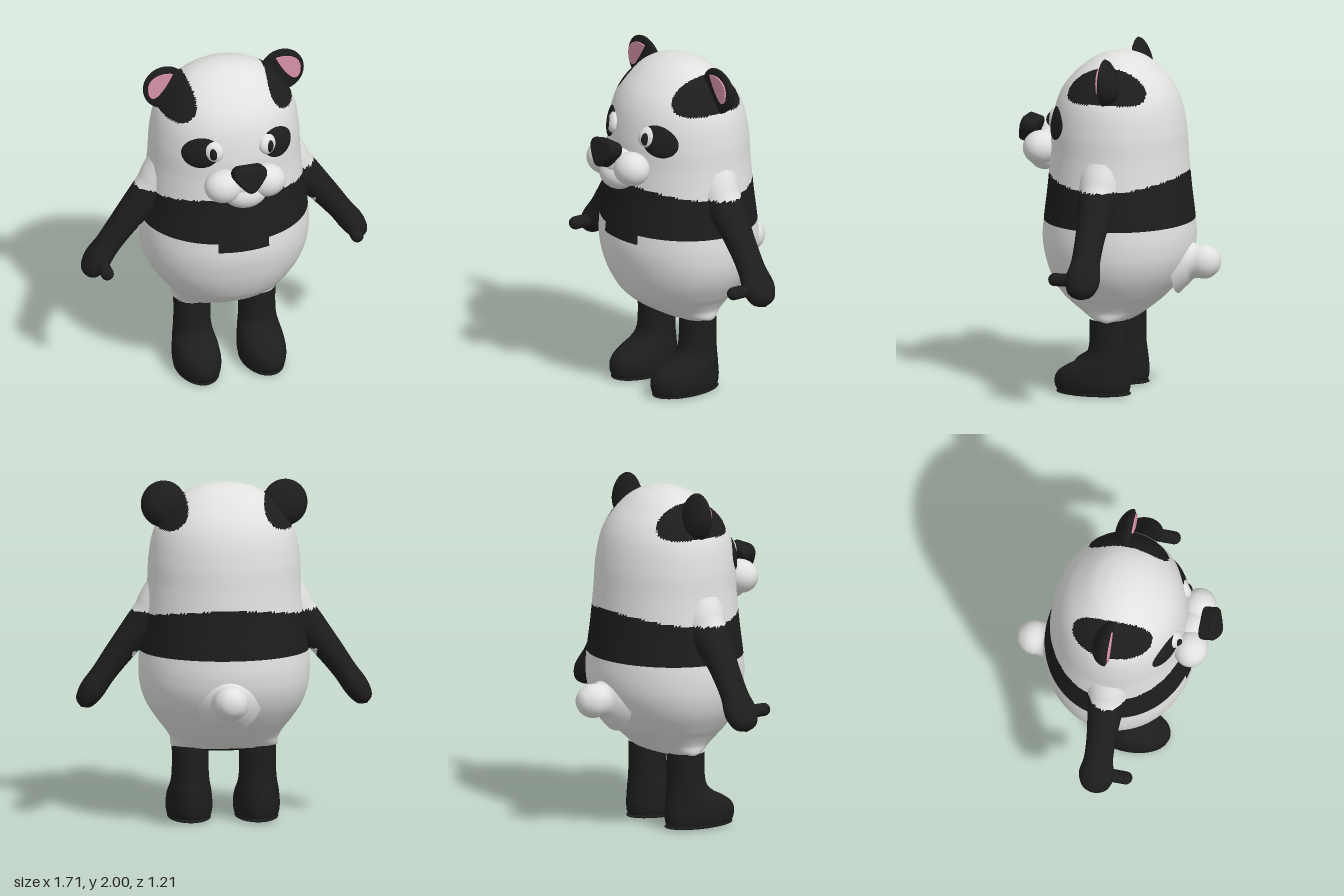
import * as THREE from 'three';

const white = new THREE.MeshStandardMaterial({ color: 0xe1e1df });
white.name = 'white fur';
const black = new THREE.MeshStandardMaterial({ color: 0x1d1d1d });
black.name = 'black fur';
const pink = new THREE.MeshStandardMaterial({ color: 0xd893a8 });
pink.name = 'pink inner ear';

// Smooth interpolation of rows [t, a, b, ...] at a given t
function sample(rows, t) {
  let i = 0;
  while (i < rows.length - 2 && t > rows[i + 1][0]) i++;
  const p = rows[i], q = rows[i + 1], h = q[0] - p[0];
  const before = rows[Math.max(i - 1, 0)], after = rows[Math.min(i + 2, rows.length - 1)];
  const u = Math.min(Math.max((t - p[0]) / h, 0), 1), u2 = u * u, u3 = u2 * u;
  return p.slice(1).map((v, k) => {
    const w = q[k + 1];
    const m0 = (w - before[k + 1]) / (q[0] - before[0]) * h;
    const m1 = (after[k + 1] - v) / (after[0] - p[0]) * h;
    return (2 * u3 - 3 * u2 + 1) * v + (u3 - 2 * u2 + u) * m0 + (3 * u2 - 2 * u3) * w + (u3 - u2) * m1;
  });
}

// Closed loops of points skinned into one smooth surface; isBlack(x, y, z) picks each face's colour
function loft(name, rows, segs, point, isBlack) {
  const pos = [], lists = [[], []];
  for (let i = 0; i <= rows; i++)
    for (let j = 0; j < segs; j++) pos.push(...point(i / rows, j / segs * Math.PI * 2));
  const add = (...tri) => {
    const c = [0, 1, 2].map(k => tri.reduce((s, v) => s + pos[v * 3 + k], 0) / 3);
    lists[isBlack(...c) ? 1 : 0].push(...tri);
  };
  for (let i = 0; i < rows; i++)
    for (let j = 0; j < segs; j++) {
      const a = i * segs + j, b = i * segs + (j + 1) % segs;
      add(a, a + segs, b);
      add(b, a + segs, b + segs);
    }
  const geo = new THREE.BufferGeometry();
  geo.setAttribute('position', new THREE.Float32BufferAttribute(pos, 3));
  geo.setIndex([...lists[0], ...lists[1]]);
  geo.addGroup(0, lists[0].length, 0);
  geo.addGroup(lists[0].length, lists[1].length, 1);
  geo.computeVertexNormals();
  const mesh = new THREE.Mesh(geo, [white, black]);
  mesh.name = name;
  return mesh;
}

// Body: y, half width, front depth, back depth
const BODY = [
  [0.41, 0, 0, 0], [0.422, 0.24, 0.07, 0.06], [0.44, 0.3, 0.13, 0.11], [0.5, 0.315, 0.235, 0.195],
  [0.55, 0.345, 0.3, 0.255], [0.6, 0.385, 0.345, 0.305], [0.7, 0.45, 0.395, 0.38], [0.8, 0.485, 0.425, 0.425],
  [0.9, 0.495, 0.44, 0.44], [1, 0.49, 0.435, 0.435], [1.2, 0.465, 0.412, 0.412], [1.4, 0.445, 0.395, 0.395],
  [1.55, 0.437, 0.388, 0.383], [1.7, 0.41, 0.358, 0.35], [1.8, 0.36, 0.31, 0.3], [1.88, 0.295, 0.238, 0.23],
  [1.94, 0.21, 0.16, 0.16], [1.97, 0.13, 0.095, 0.095], [1.982, 0.065, 0.05, 0.05], [1.986, 0, 0, 0],
];
// Arm: step, x, y, radius across, radius in z
const ARM = [
  [0, 0.32, 1.28, 0.18, 0.15], [1, 0.4, 1.2, 0.15, 0.125], [2, 0.48, 1.14, 0.11, 0.105], [3, 0.54, 1.08, 0.09, 0.095],
  [4, 0.62, 0.98, 0.078, 0.085], [5, 0.7, 0.87, 0.07, 0.085], [6, 0.76, 0.785, 0.072, 0.102],
  [7, 0.8, 0.725, 0.06, 0.085], [7.6, 0.818, 0.695, 0.04, 0.055], [8, 0.828, 0.678, 0, 0],
];
// Leg: y, half width, toe z, heel z
const LEG = [
  [0, 0, 0.1, 0.1], [0.002, 0.1, 0.28, -0.085], [0.025, 0.125, 0.318, -0.11], [0.08, 0.135, 0.332, -0.12],
  [0.13, 0.132, 0.312, -0.117], [0.17, 0.127, 0.255, -0.112], [0.2, 0.12, 0.195, -0.108],
  [0.24, 0.112, 0.145, -0.102], [0.3, 0.107, 0.124, -0.1], [0.45, 0.107, 0.12, -0.1],
];

// Front surface of the body at (x, y)
function frontZ(x, y) {
  const [w, f] = sample(BODY, y);
  return f * Math.sqrt(Math.max(1 - (x / w) ** 2, 0));
}

function bodyBlack(x, y, z) {
  const ax = Math.abs(x);
  if ((ax - 0.355) ** 2 + (y - 1.868) ** 2 < 0.135 ** 2) return true; // fur round the ears
  if (z > 0 && ax < 0.15 && y > 0.95 && y < 1.2) return true; // bib
  return y < 0.44 || (y > 1.015 && y < 1.235 + 0.065 * (z / 0.41) ** 2); // hips, chest band
}

// Slightly domed oval lying on the front of the body
function oval(name, cx, cy, rx, ry, tilt, lift, mat) {
  const mesh = loft(name, 12, 40, (t, a) => {
    const r = 1 - t, u = Math.cos(a) * rx * r, v = -Math.sin(a) * ry * r;
    const x = cx + u * Math.cos(tilt) - v * Math.sin(tilt);
    const y = cy + u * Math.sin(tilt) + v * Math.cos(tilt);
    return [x, y, frontZ(x, y) - 0.008 + (lift + 0.008) * Math.sqrt(1 - r * r)];
  }, () => mat === black);
  return mesh;
}

function ellipsoid(name, [x, y, z], [rx, ry, rz], mat) {
  const mesh = new THREE.Mesh(new THREE.SphereGeometry(1, 40, 28).scale(rx, ry, rz), mat);
  mesh.position.set(x, y, z);
  mesh.name = name;
  return mesh;
}

export function createModel() {
  const model = new THREE.Group();
  model.name = 'panda';

  model.add(loft('body', 170, 140, (t, a) => {
    const y = 0.41 + 1.576 * (1 - Math.cos(Math.PI * t)) / 2;
    const [w, f, b] = sample(BODY, y);
    const s = Math.sin(a);
    return [Math.cos(a) * w, y, s * (s > 0 ? f : b)];
  }, bodyBlack));

  for (const s of [1, -1]) {
    const side = s > 0 ? 'left' : 'right';

    // Arm flares out of the shoulder and ends in a mitten with a thumb
    model.add(loft(side + 'Arm', 60, 40, (t, a) => {
      const k = t * 8, [x, y, r, rz] = sample(ARM, k);
      const p = sample(ARM, Math.max(k - 0.3, 0)), q = sample(ARM, Math.min(k + 0.3, 8));
      const dx = q[0] - p[0], dy = q[1] - p[1], l = Math.hypot(dx, dy);
      const c = Math.cos(a) * r / l;
      return [s * x + c * dy, y - c * s * dx, 0.005 + Math.sin(a) * rz];
    }, (x, y) => !(y > 1.245 || (y < 1.01 && Math.abs(x) < 0.535))));
    const thumb = new THREE.Mesh(new THREE.CapsuleGeometry(0.038, 0.1, 8, 20), black);
    thumb.rotation.x = Math.PI / 2;
    thumb.position.set(s * 0.75, 0.775, 0.125);
    thumb.name = side + 'Thumb';
    model.add(thumb);

    // Leg and foot
    model.add(loft(side + 'Leg', 60, 40, (t, a) => {
      const y = 0.45 * t * t, [w, f, b] = sample(LEG, y);
      return [s * 0.195 + Math.cos(a) * w, y, (f + b) / 2 + Math.sin(a) * (f - b) / 2];
    }, () => true));

    // Ear: flat in front, rounded behind, thicker towards its base
    const earGeo = new THREE.SphereGeometry(1, 40, 32);
    const p = earGeo.attributes.position;
    for (let i = 0; i < p.count; i++) {
      const z = p.getZ(i), y = p.getY(i);
      p.setXYZ(i, p.getX(i) * 0.13, y * 0.136, z * (z > 0 ? 0.018 : 0.085 - 0.03 * y));
    }
    earGeo.computeVertexNormals();
    const ear = new THREE.Mesh(earGeo, black);
    ear.position.set(s * 0.352, 1.864, -0.005);
    ear.name = side + 'Ear';
    model.add(ear);

    const inner = new THREE.Shape();
    inner.moveTo(s * 0.31, 1.955);
    inner.bezierCurveTo(s * 0.38, 1.975, s * 0.455, 1.945, s * 0.458, 1.88);
    inner.bezierCurveTo(s * 0.458, 1.8, s * 0.42, 1.8, s * 0.395, 1.825);
    inner.quadraticCurveTo(s * 0.35, 1.87, s * 0.31, 1.955);
    const innerEar = new THREE.Mesh(new THREE.ExtrudeGeometry(inner, { depth: 0.009, bevelEnabled: false, curveSegments: 12 }), pink);
    innerEar.position.z = 0.007;
    innerEar.name = side + 'InnerEar';
    model.add(innerEar);

    // Eye: dark patch, eyeball and pupil
    model.add(oval(side + 'EyePatch', s * 0.228, 1.588, 0.115, 0.092, s * -0.6, 0.018, black));
    model.add(oval(side + 'Eye', s * 0.163, 1.605, 0.058, 0.064, 0, 0.034, white));
    model.add(oval(side + 'Pupil', s * 0.17, 1.602, 0.031, 0.05, 0, 0.042, black));

    model.add(ellipsoid(side + 'Cheek', [s * 0.128, 1.42, 0.44], [0.113, 0.098, 0.1], white));
  }

  // Middle of the muzzle and chin
  model.add(ellipsoid('muzzle', [0, 1.42, 0.43], [0.12, 0.085, 0.09], white));
  model.add(ellipsoid('chin', [0, 1.355, 0.445], [0.125, 0.085, 0.09], white));

  // Nose: rounded triangle tipped upward
  const tri = new THREE.Shape();
  tri.moveTo(-0.055, 0.05);
  tri.lineTo(0.055, 0.05);
  tri.quadraticCurveTo(0.085, 0.045, 0.075, 0.015);
  tri.quadraticCurveTo(0.04, -0.04, 0.012, -0.062);
  tri.quadraticCurveTo(0, -0.07, -0.012, -0.062);
  tri.quadraticCurveTo(-0.04, -0.04, -0.075, 0.015);
  tri.quadraticCurveTo(-0.085, 0.045, -0.055, 0.05);
  const nose = new THREE.Mesh(new THREE.ExtrudeGeometry(tri, {
    depth: 0.06, bevelThickness: 0.02, bevelSize: 0.022, bevelSegments: 5, curveSegments: 8,
  }), black);
  nose.position.set(0, 1.5, 0.505);
  nose.rotation.x = -0.3;
  nose.name = 'nose';
  model.add(nose);

  // Tail: stub flaring into the back
  const tailPoints = [[0.19, 0.36], [0.14, 0.41], [0.107, 0.44], [0.097, 0.47], [0.099, 0.51], [0.088, 0.55], [0.055, 0.588], [0.025, 0.601], [0, 0.604]];
  const tailCurve = new THREE.SplineCurve(tailPoints.map(([r, d]) => new THREE.Vector2(r, d)));
  const tail = new THREE.Mesh(new THREE.LatheGeometry(tailCurve.getPoints(32).map(v => v.setX(Math.max(v.x, 0))), 40), white);
  tail.rotation.x = -Math.PI / 2;
  tail.position.y = 0.775;
  tail.name = 'tail';
  model.add(tail);

  return model;
}
